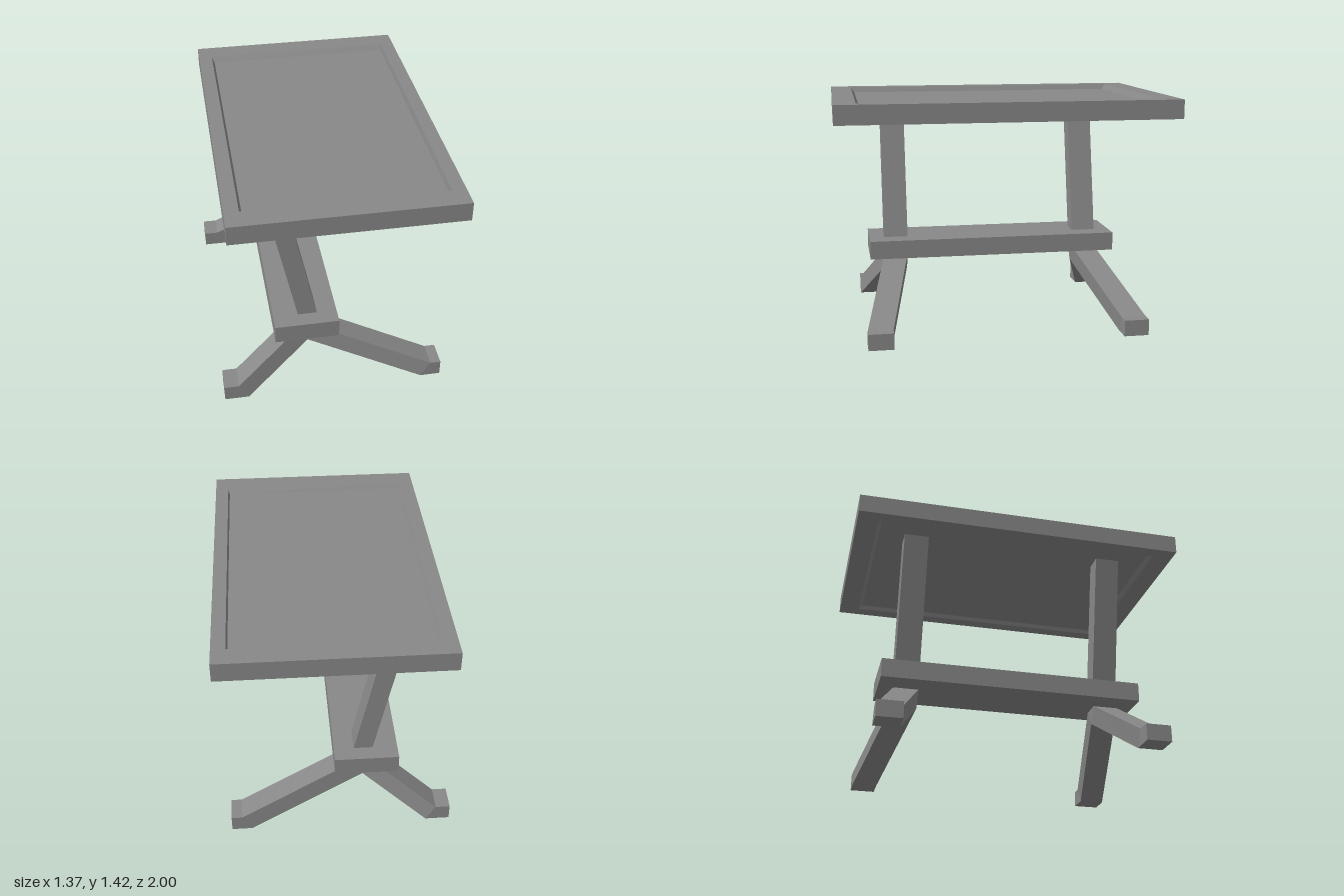
import * as THREE from 'three';

const grey = new THREE.MeshStandardMaterial({ color: 0x888888 });
grey.name = 'plain grey';

// Skins a row of four-cornered sections with flat faces and closes both ends.
function loft(sections) {
  const pos = [];
  const quad = (a, b, c, d) => pos.push(...a, ...b, ...c, ...a, ...c, ...d);
  for (let s = 0; s < sections.length - 1; s++) {
    const p = sections[s], q = sections[s + 1];
    for (let i = 0; i < 4; i++) {
      const j = (i + 1) % 4;
      quad(p[i], p[j], q[j], q[i]);
    }
  }
  const [a, b, c, d] = sections[0];
  quad(d, c, b, a);
  quad(...sections[sections.length - 1]);
  const geo = new THREE.BufferGeometry();
  geo.setAttribute('position', new THREE.Float32BufferAttribute(pos, 3));
  geo.computeVertexNormals();
  return geo;
}

// Horizontal rectangle at height y, for lofts that run upwards
const level = (x0, x1, z0, z1, y) => [[x0, y, z0], [x0, y, z1], [x1, y, z1], [x1, y, z0]];

export function createModel() {
  const group = new THREE.Group();
  const add = (name, geo) => {
    const mesh = new THREE.Mesh(geo, grey);
    mesh.name = name;
    group.add(mesh);
    return mesh;
  };

  // Tabletop: a frame with a sunken panel above and below
  const panel = y => level(-0.525, 0.595, -0.85, 0.85, y);
  const opening = y => level(-0.54, 0.603, -0.875, 0.872, y);
  const rim = y => level(-0.623, 0.683, -1, 1, y);
  add('tabletop', loft([panel(1.335), opening(1.308), rim(1.308), rim(1.421), opening(1.421), panel(1.388)]));

  // Shelf joining the two trestles
  add('shelf', new THREE.BoxGeometry(0.382, 0.115, 1.58)).position.set(-0.171, 0.435, 0);

  for (const side of [1, -1]) {
    const end = side > 0 ? 'front' : 'back';

    // Leaning post from shelf to tabletop
    const postLevel = y => {
      const x = -0.156 - 0.2125 * (y - 0.49);
      return level(x - 0.057, x + 0.057, side * 0.62 - 0.075, side * 0.62 + 0.075, y);
    };
    add(end + 'Post', loft([postLevel(0.47), postLevel(1.345)]));

    // Splayed foot beam: [top x, top y, bottom x, bottom y, distance out in z]
    const path = [
      [-0.685, 0.098, -0.685, 0, 0.765],
      [-0.598, 0.098, -0.54, 0, 0.765],
      [-0.212, 0.38, -0.156, 0.281, 0.622],
      [-0.1, 0.38, -0.156, 0.281, 0.622],
      [0.588, 0.098, 0.53, 0, 0.765],
      [0.652, 0.098, 0.652, 0, 0.765],
    ];
    add(end + 'Legs', loft(path.map(([tx, ty, bx, by, out]) => {
      const z0 = side * out - 0.075, z1 = side * out + 0.075;
      return [[bx, by, z0], [tx, ty, z0], [tx, ty, z1], [bx, by, z1]];
    })));
  }
  return group;
}
